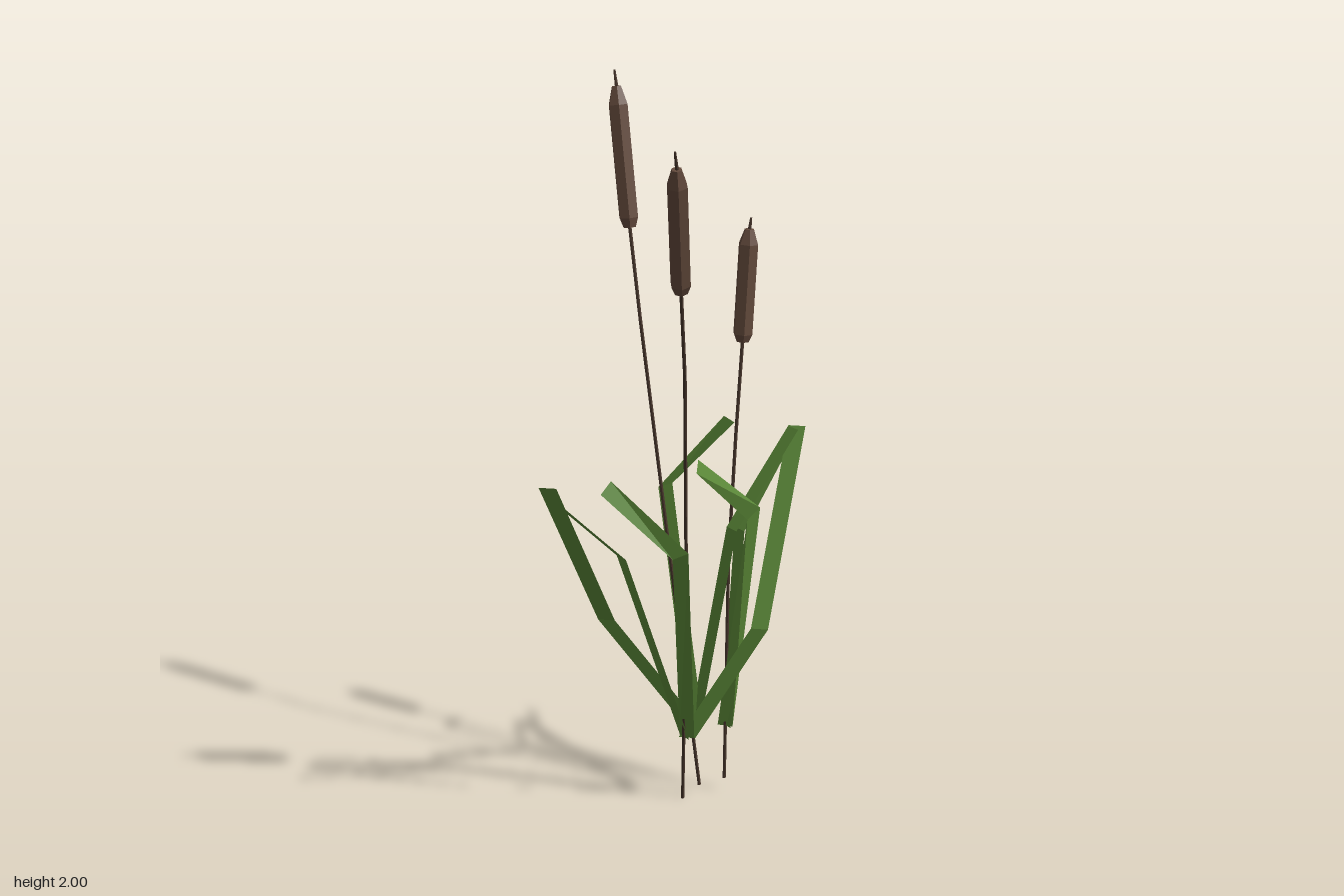
import * as THREE from 'three';

const leafMat = new THREE.MeshStandardMaterial({ color: 0x5c8a38, flatShading: true, side: THREE.DoubleSide });
const stemMat = new THREE.MeshStandardMaterial({ color: 0x45342a, flatShading: true });
const headMat = new THREE.MeshStandardMaterial({ color: 0x634a3c, flatShading: true });
const V = (p) => new THREE.Vector3(...p);
const UP = new THREE.Vector3(0, 1, 0);

// Stand a mesh built along +y so that it points from a to b
function aim(mesh, a, b, name) {
  mesh.name = name;
  mesh.position.copy(a);
  mesh.quaternion.setFromUnitVectors(UP, b.clone().sub(a).normalize());
  return mesh;
}

// Thin tapered rod from a to b
function rod(a, b, r0, r1, name) {
  const len = a.distanceTo(b);
  const geo = new THREE.CylinderGeometry(r1, r0, len, 5).translate(0, len / 2, 0);
  return aim(new THREE.Mesh(geo, stemMat), a, b, name);
}

// Stem through its bend points, seed head on the last one, spike on top
function cattail(stemPoints, headTop, tip) {
  const group = new THREE.Group();
  group.name = 'cattail';
  const pts = stemPoints.map(V);
  for (let i = 0; i + 1 < pts.length; i++) group.add(rod(pts[i], pts[i + 1], 0.005, 0.005, 'stem'));

  const base = pts[pts.length - 1], top = V(headTop), len = base.distanceTo(top);
  const profile = [[0, 0], [0.018, 0], [0.027, 0.07], [0.027, 0.87], [0.013, 1], [0, 1]]
    .map(([r, t]) => new THREE.Vector2(r, t * len));
  group.add(aim(new THREE.Mesh(new THREE.LatheGeometry(profile, 6), headMat), base, top, 'seedHead'));
  group.add(rod(top, V(tip), 0.005, 0.003, 'spike'));
  return group;
}

// Folded strip: each section is a centre and the vector across the blade
function leaf(sections) {
  const pos = [], index = [];
  sections.forEach(([c, w], i) => {
    const half = V(w).multiplyScalar(0.5);
    pos.push(...V(c).sub(half).toArray(), ...V(c).add(half).toArray());
    if (i) index.push(2 * i - 2, 2 * i - 1, 2 * i, 2 * i - 1, 2 * i + 1, 2 * i);
  });
  const geo = new THREE.BufferGeometry();
  geo.setAttribute('position', new THREE.Float32BufferAttribute(pos, 3));
  geo.setIndex(index);
  geo.computeVertexNormals();
  const mesh = new THREE.Mesh(geo, leafMat);
  mesh.name = 'leaf';
  return mesh;
}

export function createModel() {
  const model = new THREE.Group();
  model.name = 'cattails';

  // Three cattails
  model.add(
    cattail([[-0.075, 0.03, -0.11], [-0.12, 0.7, -0.045], [-0.19, 1.36, 0], [-0.24, 1.6, -0.003]],
      [-0.298, 1.96, -0.005], [-0.31, 2, -0.007]),
    cattail([[-0.085, 0, -0.06], [0.025, 0.68, 0.008], [0.145, 1.31, 0.1], [0.212, 1.55, 0.16]],
      [0.3, 1.88, 0.236], [0.312, 1.925, 0.25]),
    cattail([[-0.053, 0.04, -0.18], [-0.05, 0.7, -0.188], [-0.046, 1.05, -0.207], [-0.043, 1.3, -0.224]],
      [-0.04, 1.6, -0.242], [-0.04, 1.63, -0.247]));

  // Broad leaves, flat across x
  const across = [0.043, 0, 0];
  [[[-0.08, 0.22, -0.1], [0, 0.8, -0.16], [0.037, 1.06, -0.335]],
    [[-0.055, 0.2, -0.045], [-0.105, 0.75, 0.125], [-0.135, 0.965, 0.34]],
    [[-0.05, 0.2, -0.182], [-0.05, 0.77, -0.225], [-0.05, 1.02, -0.403]],
  ].forEach((points) => model.add(leaf(points.map((p) => [p, across]))));

  // Long leaves, flat on the diagonal
  const diagonal = [0.033, 0, -0.032];
  [[[-0.09, 0.22, -0.09], [-0.193, 0.54, 0.115], [-0.053, 1.015, 0.386]],
    [[-0.05, 0.2, -0.05], [0.1, 0.54, -0.18], [0.028, 1.06, -0.355]],
  ].forEach((points) => model.add(leaf(points.map((p) => [p, diagonal]))));

  // Sharply bent leaves, twisting towards the tip
  model.add(
    leaf([[[-0.08, 0.22, -0.1], [0.033, 0, -0.025]], [[-0.205, 0.88, -0.09], [0.03, 0.015, -0.025]],
      [[-0.086, 1.075, -0.215], [0, -0.025, -0.035]]]),
    leaf([[[-0.05, 0.2, -0.05], [-0.033, 0, 0.025]], [[0.116, 0.815, 0.092], [-0.03, -0.02, 0.028]],
      [[-0.002, 1, 0.242], [0, -0.03, 0.032]]]),
    leaf([[[-0.05, 0.2, -0.18], [0.035, 0, -0.025]], [[0.048, 0.85, -0.197], [0.01, 0.03, -0.035]],
      [[0.066, 1.028, 0.002], [-0.02, 0.028, -0.02]]]));
  return model;
}
